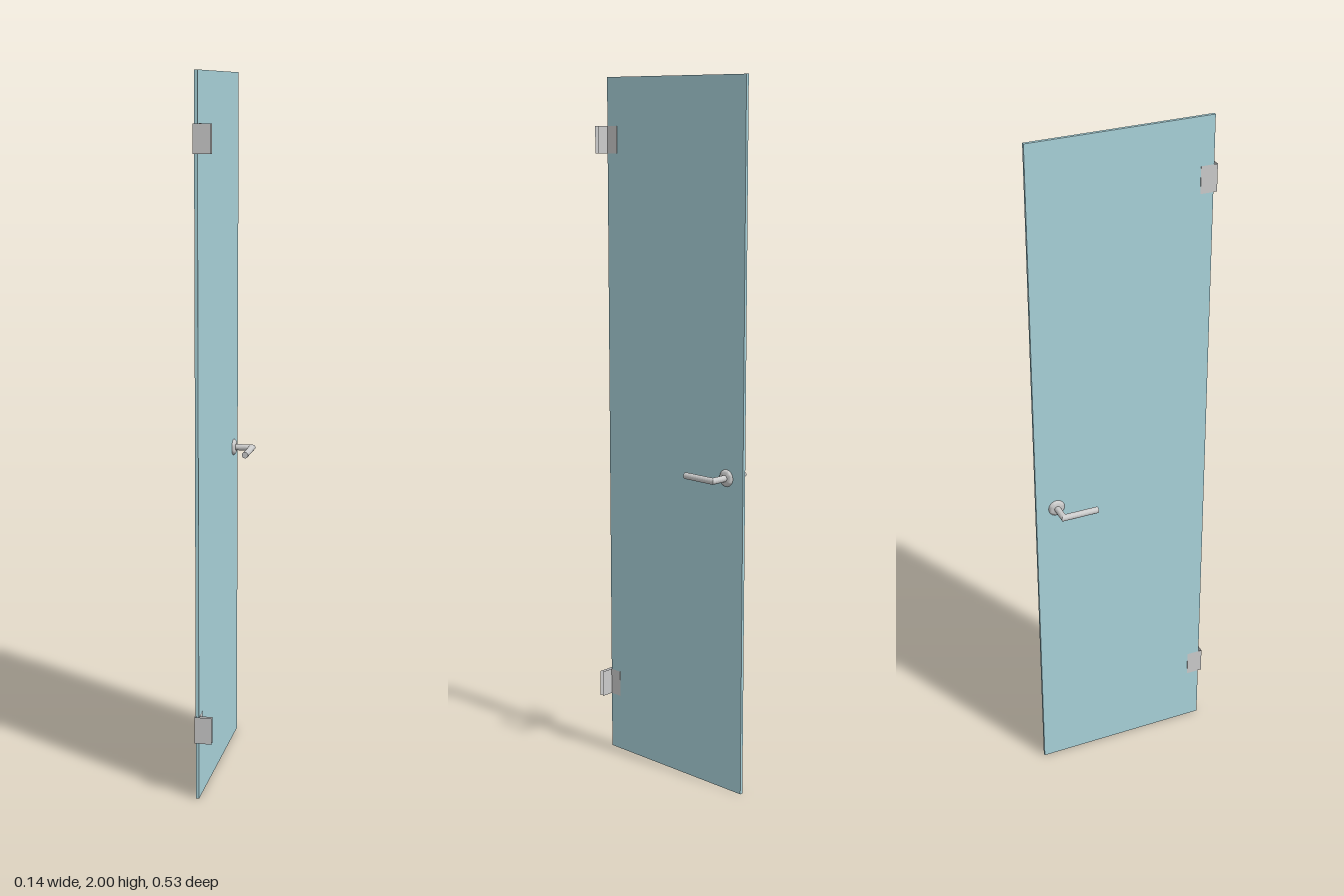
import * as THREE from 'three';
import { toCreasedNormals } from 'three/addons/utils/BufferGeometryUtils.js';

const metal = new THREE.MeshStandardMaterial({ color: 0xcccccc });
const sheet = new THREE.MeshStandardMaterial({ color: 0xcccccc, side: THREE.DoubleSide });
const glass = new THREE.MeshStandardMaterial({ color: 0xa9d2da });

function add(parent, name, geometry, material) {
  const mesh = new THREE.Mesh(geometry, material);
  mesh.name = name;
  parent.add(mesh);
  return mesh;
}

// Round bar running out along +x, then turning to +z with a mitred corner
function leverGeometry(r, reach, length, sides = 20) {
  const pos = [], index = [];
  for (let k = 0; k < 3; k++) {
    for (let i = 0; i < sides; i++) {
      const a = (i / sides) * Math.PI * 2;
      const s = r * Math.sin(a);
      pos.push(k === 0 ? 0 : reach - s, r * Math.cos(a), k === 2 ? length : s);
    }
  }
  pos.push(reach, 0, length);
  for (let i = 0; i < sides; i++) {
    const j = (i + 1) % sides;
    for (let k = 0; k < 2; k++) {
      const a = k * sides + i, b = k * sides + j;
      index.push(a, b, a + sides, b, b + sides, a + sides);
    }
    index.push(3 * sides, 2 * sides + i, 2 * sides + j);
  }
  const g = new THREE.BufferGeometry();
  g.setAttribute('position', new THREE.Float32BufferAttribute(pos, 3));
  g.setIndex(index);
  return toCreasedNormals(g, 0.6);
}

// Upright sheet following an [x, z] outline
function ribbonGeometry(outline, height) {
  const pos = [], index = [];
  outline.forEach(([x, z], i) => {
    pos.push(x, 0, z, x, height, z);
    if (i) index.push(2 * i - 2, 2 * i, 2 * i - 1, 2 * i, 2 * i + 1, 2 * i - 1);
  });
  const g = new THREE.BufferGeometry();
  g.setAttribute('position', new THREE.Float32BufferAttribute(pos, 3));
  g.setIndex(index);
  return toCreasedNormals(g, 0.3);
}

export function createModel() {
  const door = new THREE.Group();
  door.name = 'glassDoor';

  // Glass pane
  add(door, 'glassPane', new THREE.BoxGeometry(0.009, 2, 0.524), glass).position.set(0, 1, -0.005);

  // Folded hinges: a clamp around the pane and a leaf turned to +x
  const hinge = ribbonGeometry([
    [0.043, 0.256], [0.006, 0.256], [0.006, 0.219],
    [-0.006, 0.219], [-0.006, 0.267], [0.043, 0.267],
  ], 0.077);
  add(door, 'lowerHinge', hinge, sheet).position.y = 0.169;
  add(door, 'upperHinge', hinge, sheet).position.y = 1.788;

  // Handle on each face: domed rosette and mitred lever
  const rosette = toCreasedNormals(new THREE.LatheGeometry(
    [[0.024, 0], [0.024, 0.006], [0.021, 0.010], [0.017, 0.0125], [0, 0.0125]]
      .map(([r, y]) => new THREE.Vector2(r, y)), 28), 0.7);
  rosette.rotateZ(-Math.PI / 2);
  const lever = leverGeometry(0.0092, 0.06, 0.103);
  for (const side of [1, -1]) {
    const handle = new THREE.Group();
    handle.name = side > 0 ? 'leftHandle' : 'rightHandle';
    add(handle, 'rosette', rosette, metal);
    add(handle, 'lever', lever, metal);
    handle.position.set(0, 0.913, -0.206);
    if (side < 0) handle.rotation.z = Math.PI;
    door.add(handle);
  }

  return door;
}
